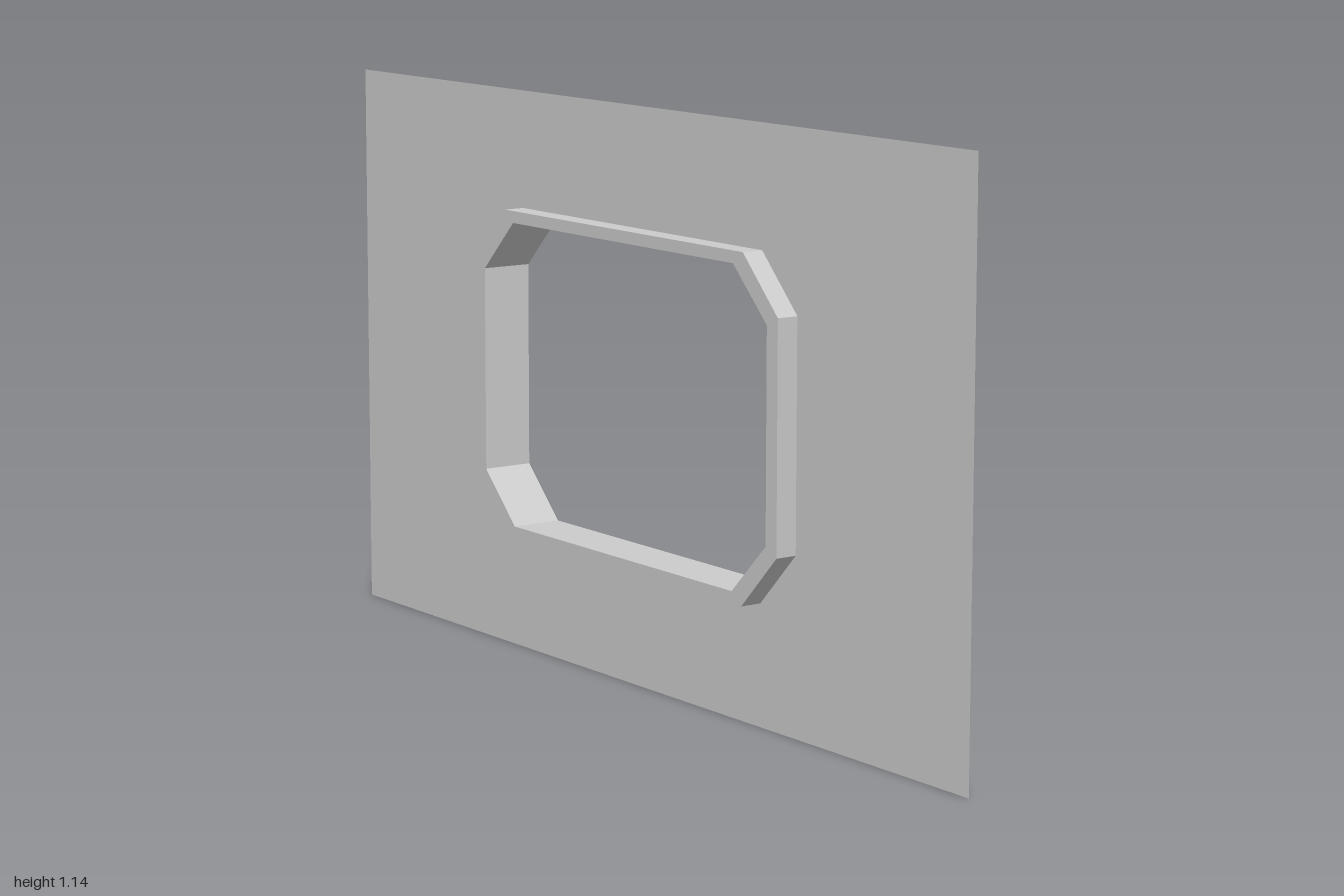
import * as THREE from 'three';

const FRONT = 0.053, PANEL = 0.008, BACK = -0.053;
const CX = -0.003, CY = 0.573;

// Octagon: a rectangle with cut corners, counter-clockwise seen from the front.
// w, h are half sizes; u, v are where the corner cuts begin.
function octagon(w, h, u, v) {
  return [[w, -v], [w, v], [u, h], [-u, h], [-w, v], [-w, -v], [-u, -h], [u, -h]]
    .map(([x, y]) => new THREE.Vector2(CX + x, CY + y));
}

// Flat sheet at depth z with an opening
function sheet(outline, opening, z) {
  const shape = new THREE.Shape(outline);
  shape.holes.push(new THREE.Path(opening));
  return new THREE.ShapeGeometry(shape).translate(0, 0, z);
}

// Thin wall following a closed outline from depth z0 to z1, facing outward
function wall(outline, z0, z1) {
  const pos = [];
  outline.forEach((a, i) => {
    const b = outline[(i + 1) % outline.length];
    pos.push(a.x, a.y, z0, b.x, b.y, z0, b.x, b.y, z1);
    pos.push(a.x, a.y, z0, b.x, b.y, z1, a.x, a.y, z1);
  });
  const geo = new THREE.BufferGeometry();
  geo.setAttribute('position', new THREE.Float32BufferAttribute(pos, 3));
  geo.computeVertexNormals();
  return geo;
}

export function createModel() {
  const group = new THREE.Group();
  const material = new THREE.MeshStandardMaterial({
    color: 0xcccccc, flatShading: true, side: THREE.DoubleSide,
  });
  const add = (name, geometry) => {
    const mesh = new THREE.Mesh(geometry, material);
    mesh.name = name;
    group.add(mesh);
  };

  const outer = octagon(0.503, 0.334, 0.396, 0.224);
  const inner = octagon(0.47, 0.31, 0.366, 0.207);
  const border = [[-1, 0], [1, 0], [1, 1.144], [-1, 1.144]]
    .map(([x, y]) => new THREE.Vector2(x, y));

  // Wall sheet, opened to the outside of the raised frame
  add('wallPanel', sheet(border, outer, PANEL));
  // Raised frame: outer side, front face, and lining through to the back
  add('frameOuterSide', wall(outer, PANEL, FRONT));
  add('frameFrontFace', sheet(outer, inner, FRONT));
  add('openingLining', wall(inner, BACK, FRONT));

  return group;
}
